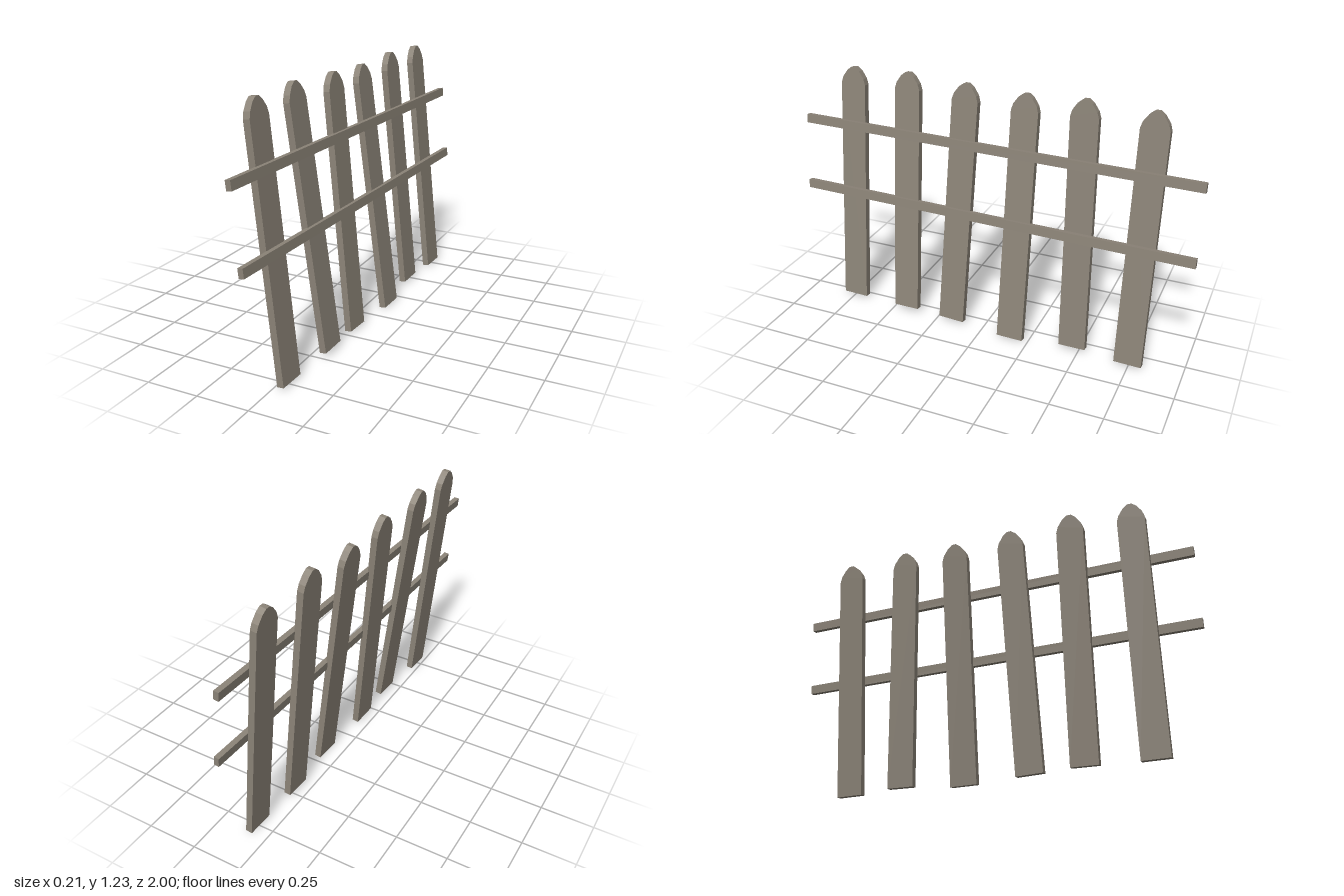
import * as THREE from 'three';

export function createModel() {
  const fence = new THREE.Group();
  fence.name = 'picketFence';
  const wood = new THREE.MeshStandardMaterial({ color: 0x8c8478 });
  wood.name = 'weatheredWood';

  const YAW = -0.0335; // the whole fence runs slightly askew
  const WIDTH = 0.132, THICK = 0.032;

  // Board with a rounded point, origin at the centre of its foot
  function picketGeometry(height) {
    const h = WIDTH / 2;
    const side = [[h, 0], [h, height - 0.082], [h * 0.86, height - 0.052], [h * 0.5, height - 0.018], [h * 0.16, height - 0.001]];
    const outline = [...side, ...side.map(([x, y]) => [-x, y]).reverse()];
    const shape = new THREE.Shape(outline.map(([x, y]) => new THREE.Vector2(x, y)));
    const geometry = new THREE.ExtrudeGeometry(shape, { depth: THICK, bevelEnabled: false });
    geometry.translate(0, 0, -THICK / 2);
    geometry.rotateY(Math.PI / 2);
    return geometry;
  }

  // Foot x, foot y, foot z, tip y, sideways lean in x, drift in z
  const pickets = [
    [0.035, 0.014, 0.741, 1.221, 0.125, 0.0],
    [0.064, 0.028, 0.424, 1.23, 0.153, 0.025],
    [0.062, 0.016, 0.171, 1.222, 0.13, -0.034],
    [0.090, 0.007, -0.156, 1.211, 0.159, 0.003],
    [0.064, 0.022, -0.467, 1.23, 0.112, 0.031],
    [0.085, 0.014, -0.746, 1.221, 0.13, -0.003],
  ];
  pickets.forEach(([x, y, z, tip, lean, drift], i) => {
    const height = tip - y;
    const picket = new THREE.Mesh(picketGeometry(Math.hypot(height, lean)), wood);
    picket.name = 'picket' + (i + 1);
    picket.position.set(x, y, z);
    picket.rotation.set(Math.atan(drift / height), YAW, Math.atan(lean / height), 'YZX');
    fence.add(picket);
  });

  // Two rails on the +x face of the pickets
  const rails = [['upperRail', -0.01, 0.937], ['lowerRail', 0.027, 0.594]];
  for (const [name, x, y] of rails) {
    const rail = new THREE.Mesh(new THREE.BoxGeometry(0.025, 0.043, 2), wood);
    rail.name = name;
    rail.position.set(x, y, 0);
    rail.rotation.set(0, YAW, 0.108, 'YZX');
    fence.add(rail);
  }
  return fence;
}
